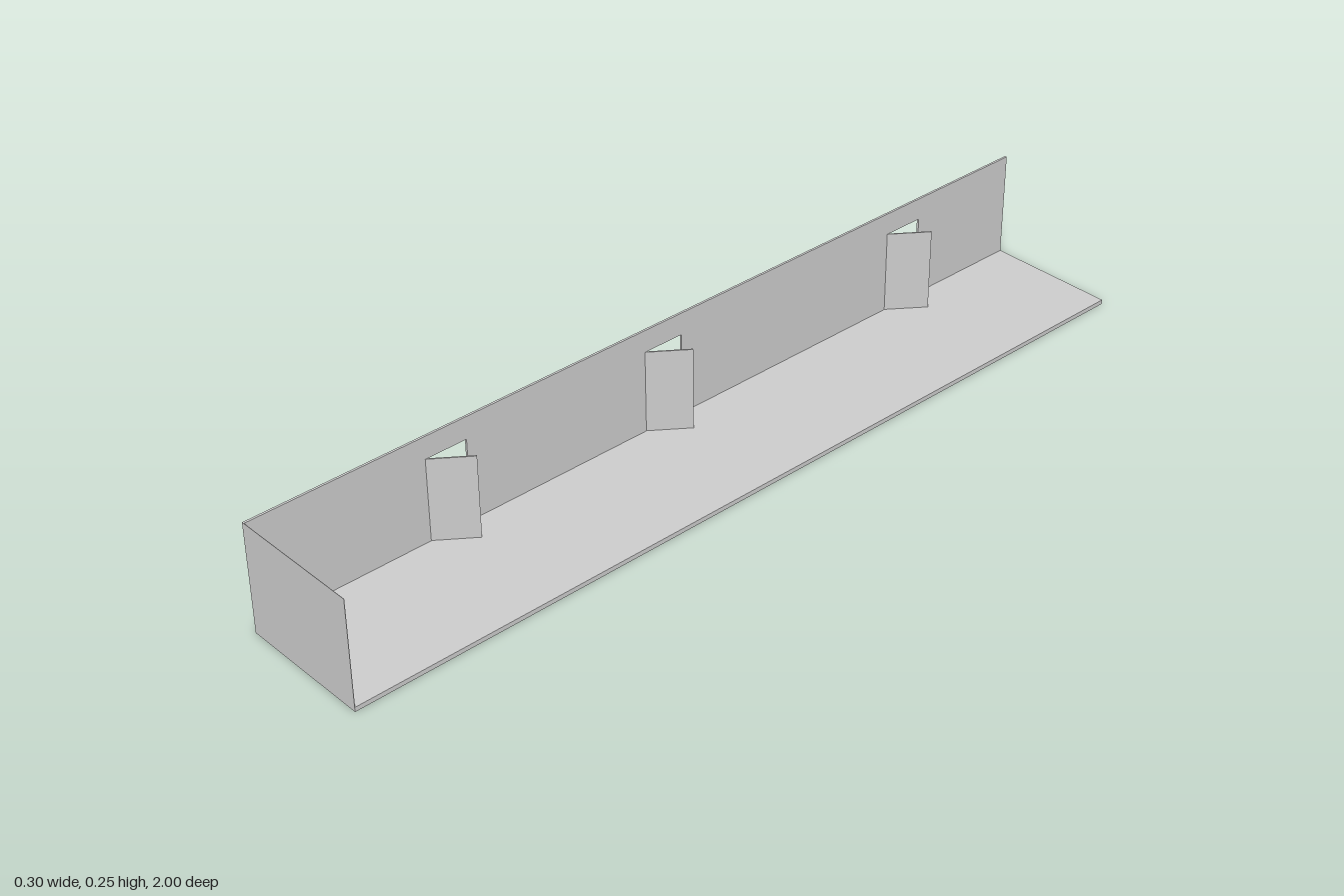
import * as THREE from 'three';

const W = 0.30, L = 2, H = 0.246;      // overall width, length, height
const FLOOR = 0.01, WALL = 0.005;      // thicknesses
const DOOR_W = 0.097, DOOR_TOP = 0.196, DOOR_T = 0.003;
const HINGES = [0.605, 0.062, -0.625]; // z of each door hinge

export function createModel() {
  const model = new THREE.Group();
  const grey = new THREE.MeshStandardMaterial({ color: 0xcccccc });

  const add = (name, geometry, parent = model) => {
    const mesh = new THREE.Mesh(geometry, grey);
    mesh.name = name;
    parent.add(mesh);
    return mesh;
  };

  // Floor slab, butting against the long wall
  add('floor', new THREE.BoxGeometry(W - WALL, FLOOR, L)).position.set(WALL / 2, FLOOR / 2, 0);

  // Long side wall with doorways, drawn in (z, y) and turned to face sideways
  const outline = new THREE.Shape([
    new THREE.Vector2(-L / 2, 0), new THREE.Vector2(L / 2, 0),
    new THREE.Vector2(L / 2, H), new THREE.Vector2(-L / 2, H),
  ]);
  for (const z of HINGES) {
    outline.holes.push(new THREE.Path([
      new THREE.Vector2(z - DOOR_W, FLOOR), new THREE.Vector2(z - DOOR_W, DOOR_TOP),
      new THREE.Vector2(z, DOOR_TOP), new THREE.Vector2(z, FLOOR),
    ]));
  }
  const wall = new THREE.ExtrudeGeometry(outline, { depth: WALL, bevelEnabled: false });
  wall.rotateY(-Math.PI / 2).translate(-W / 2 + WALL, 0, 0);
  add('sideWall', wall);

  // Thin end wall closing the front
  const endT = 0.001;
  add('endWall', new THREE.BoxGeometry(W - WALL, H - FLOOR, endT))
    .position.set(WALL / 2, (H + FLOOR) / 2, L / 2 - endT / 2);

  // Doors standing ajar, swung inward about their hinges
  const doorH = DOOR_TOP - FLOOR;
  for (const z of HINGES) {
    const hinge = new THREE.Group();
    hinge.name = 'doorHinge';
    hinge.position.set(-W / 2 + WALL / 2, FLOOR, z);
    hinge.rotation.y = -0.64;
    add('door', new THREE.BoxGeometry(DOOR_T, doorH, DOOR_W), hinge)
      .position.set(0, doorH / 2, -DOOR_W / 2);
    model.add(hinge);
  }
  return model;
}
